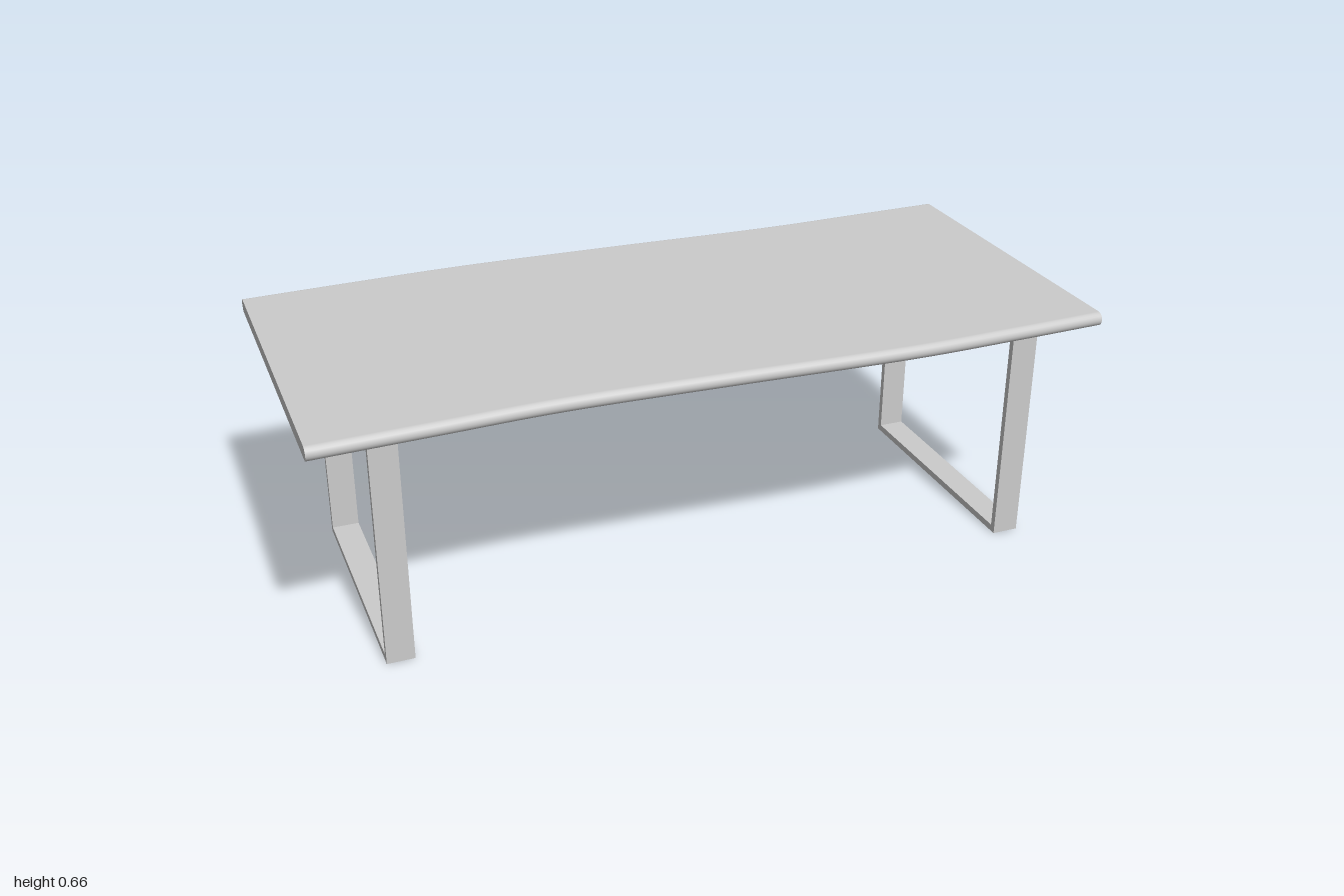
import * as THREE from 'three';

const material = new THREE.MeshStandardMaterial({ color: 0xcccccc });

// Smooth edge line in plan, from [x, z] pairs
const edgeCurve = (pairs) => new THREE.SplineCurve(pairs.map(([x, z]) => new THREE.Vector2(x, z)));

// Slab with wavy long edges: a rounded cross-section swept along x
function createTopGeometry() {
  const front = edgeCurve([[-1, 0.449], [-0.7, 0.437], [-0.4, 0.427], [0, 0.442], [0.45, 0.463], [0.75, 0.459], [1, 0.451]]);
  const back = edgeCurve([[-1, -0.446], [-0.7, -0.459], [-0.4, -0.467], [0, -0.456], [0.45, -0.438], [0.75, -0.442], [1, -0.446]]);
  const steps = 48, arc = 10, radius = 0.018, midY = 0.645;
  const positions = [], index = [];

  const addRing = (t) => {
    const f = front.getPoint(t), b = back.getPoint(t);
    for (const [edge, start] of [[f.y - radius, -Math.PI / 2], [b.y + radius, Math.PI / 2]]) {
      for (let k = 0; k <= arc; k++) {
        const a = start + (Math.PI * k) / arc;
        positions.push(f.x, midY + radius * Math.sin(a), edge + radius * Math.cos(a));
      }
    }
  };

  const n = 2 * (arc + 1);
  for (let i = 0; i <= steps; i++) addRing(i / steps);
  for (let i = 0; i < steps; i++) {
    for (let j = 0; j < n; j++) {
      const a = i * n + j, b = i * n + ((j + 1) % n);
      index.push(a, a + n, b, b, a + n, b + n);
    }
  }
  // Flat ends use their own vertices so their rims stay sharp
  for (const t of [0, 1]) {
    const base = positions.length / 3;
    addRing(t);
    for (let j = 1; j < n - 1; j++) {
      if (t === 0) index.push(base, base + j, base + j + 1);
      else index.push(base, base + j + 1, base + j);
    }
  }

  const geometry = new THREE.BufferGeometry();
  geometry.setAttribute('position', new THREE.Float32BufferAttribute(positions, 3));
  geometry.setIndex(index);
  geometry.computeVertexNormals();
  return geometry;
}

// Closed rectangular frame of flat bar, facing along x
function createLegGeometry() {
  const rect = (path, z0, y0, z1, y1) =>
    path.moveTo(z0, y0).lineTo(z1, y0).lineTo(z1, y1).lineTo(z0, y1).closePath();
  const depth = 0.07;
  const outline = rect(new THREE.Shape(), -0.327, 0, 0.34, 0.627);
  outline.holes.push(rect(new THREE.Path(), -0.311, 0.018, 0.324, 0.609));
  return new THREE.ExtrudeGeometry(outline, { depth, bevelEnabled: false })
    .translate(0, 0, -depth / 2)
    .rotateY(-Math.PI / 2);
}

export function createModel() {
  const table = new THREE.Group();
  table.name = 'table';

  const top = new THREE.Mesh(createTopGeometry(), material);
  top.name = 'tableTop';
  table.add(top);

  const legGeometry = createLegGeometry();
  for (const [name, x] of [['rightLegFrame', -0.815], ['leftLegFrame', 0.855]]) {
    const leg = new THREE.Mesh(legGeometry, material);
    leg.name = name;
    leg.position.x = x;
    table.add(leg);
  }
  return table;
}
